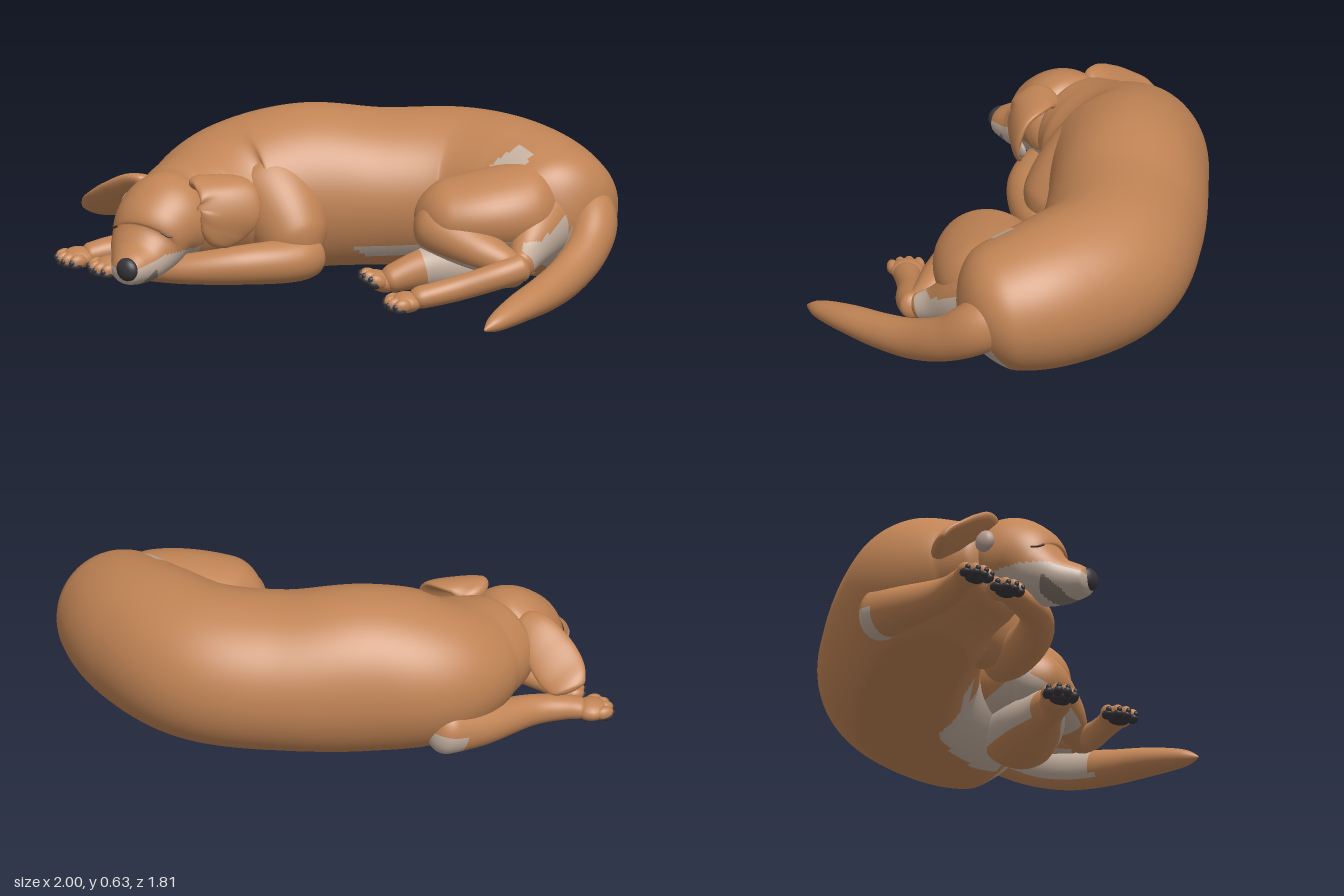
import * as THREE from 'three';

const mat = (name, color) => {
  const m = new THREE.MeshStandardMaterial({ color });
  m.name = name;
  return m;
};
const FLOOR = 0.012;
const Y = new THREE.Vector3(0, 1, 0);

export function createModel() {
  const root = new THREE.Group();
  root.name = 'sleepingDog';
  const tan = mat('tan coat', 0xc18455);
  const cream = mat('cream fur', 0xc4b0a0);
  const dark = mat('nose and claw dark', 0x38353a);
  const lip = mat('lip grey', 0x84766c);
  const line = mat('eyelid brown', 0x4a2f20);
  const pink = mat('inner ear pink', 0xb39a8e);

  // Smooth body of elliptical sections [x, y, z, halfWidth, halfHeight] with rounded ends.
  // paint(point, u, cos, sin) picks an index in mats for each face.
  function loft(name, sections, o = {}) {
    const { mats = [tan], paint = () => 0, side: fixed, e0 = 0.1, e1 = 0.1, n = 60, m = 44 } = o;
    const path = new THREE.CatmullRomCurve3(sections.map(s => new THREE.Vector3(s[0], s[1], s[2])), false, 'catmullrom', 0.5);
    const size = new THREE.CatmullRomCurve3(sections.map(s => new THREE.Vector3(s[3], s[4], 0)), false, 'catmullrom', 0.5);
    const round = (u, e) => (u < e ? Math.sqrt(Math.max(0, 1 - (1 - u / e) ** 2)) : 1);
    const at = (u, a, grow = 1) => {
      const t = path.getTangent(u), s = new THREE.Vector3(), up = new THREE.Vector3();
      if (fixed) s.copy(fixed); else s.crossVectors(Y, t);
      up.crossVectors(t, s).normalize();
      s.crossVectors(up, t).normalize();
      const r = size.getPoint(u), k = round(u, e0) * round(1 - u, e1) * grow;
      const p = path.getPoint(u).addScaledVector(s, Math.cos(a) * r.x * k).addScaledVector(up, Math.sin(a) * r.y * k);
      p.y = Math.max(p.y, FLOOR);
      return p;
    };
    const pos = [], lists = mats.map(() => []);
    for (let i = 0; i <= n; i++) {
      const u = 0.5 - 0.5 * Math.cos(Math.PI * i / n);
      for (let j = 0; j < m; j++) pos.push(...at(u, j / m * Math.PI * 2).toArray());
    }
    for (let i = 0; i < n; i++) for (let j = 0; j < m; j++) {
      const k = (j + 1) % m, a = i * m + j, b = i * m + k, c = a + m, d = b + m;
      const u = 0.5 - 0.5 * Math.cos(Math.PI * (i + 0.5) / n), g = (j + 0.5) / m * Math.PI * 2;
      lists[paint(at(u, g), u, Math.cos(g), Math.sin(g))].push(a, b, c, b, d, c);
    }
    const geo = new THREE.BufferGeometry();
    geo.setAttribute('position', new THREE.Float32BufferAttribute(pos, 3));
    geo.setIndex(lists.flat());
    let start = 0;
    lists.forEach((l, i) => { geo.addGroup(start, l.length, i); start += l.length; });
    geo.computeVertexNormals();
    const mesh = new THREE.Mesh(geo, mats);
    mesh.name = name;
    root.add(mesh);
    return at;
  }

  function blob(name, material, p, r, parent = root) {
    const mesh = new THREE.Mesh(new THREE.SphereGeometry(1, 20, 14), material);
    mesh.name = name;
    mesh.position.set(...p);
    mesh.scale.set(...r);
    parent.add(mesh);
  }

  // Curled trunk from rump to neck
  loft('body', [
    [0.75, 0.24, -0.51, 0.19, 0.2], [0.58, 0.28, -0.565, 0.27, 0.27], [0.34, 0.29, -0.595, 0.305, 0.31],
    [0.06, 0.29, -0.55, 0.325, 0.32], [-0.18, 0.28, -0.34, 0.325, 0.325], [-0.38, 0.29, -0.1, 0.32, 0.345],
    [-0.53, 0.275, 0.14, 0.32, 0.305], [-0.54, 0.275, 0.36, 0.265, 0.215], [-0.52, 0.27, 0.53, 0.19, 0.17],
  ], {
    n: 150, m: 96, mats: [tan, cream], e0: 0.11, e1: 0.06,
    paint: (p, u, c) => {
      const belly = c > (p.x > 0.08 ? 0.4 : 0.75) && p.x > -0.06 && p.x < 0.55
        && p.y < 0.12 + 1.3 * Math.max(0, p.x - 0.12) && p.y > FLOOR;
      const rump = p.x > 0.6 && p.z > -0.7 && p.y < 0.24 && p.y > FLOOR;
      return belly || rump ? 1 : 0;
    },
  });

  // Tail sweeping down from the rump and along the ground
  loft('tail', [
    [0.6, 0.32, -0.66, 0.1, 0.12], [0.73, 0.265, -0.615, 0.1, 0.115], [0.805, 0.18, -0.5, 0.085, 0.095],
    [0.85, 0.115, -0.34, 0.077, 0.085], [0.89, 0.085, -0.17, 0.075, 0.073], [0.925, 0.07, 0, 0.068, 0.058],
    [0.95, 0.05, 0.15, 0.045, 0.04], [0.96, 0.03, 0.25, 0.014, 0.016],
  ], {
    mats: [tan, cream], paint: (p, u, c) => (c < -0.65 && p.z > -0.55 && p.z < -0.2 ? 1 : 0),
  });

  // Upper hind leg: thigh, hamstring, shank and foot; the back of it is pale below a slanting line
  const backPatch = (p, c) => c > 0 && p.z < -0.2 && p.y < 0.25 + 0.45 * Math.max(0, -0.3 - p.z);
  loft('leftThigh', [
    [0.6, 0.32, -0.57, 0.16, 0.2], [0.5, 0.32, -0.36, 0.22, 0.18], [0.37, 0.31, -0.18, 0.2, 0.15],
    [0.26, 0.3, -0.07, 0.11, 0.12],
  ], {
    e0: 0.25, e1: 0.3, mats: [tan, cream], m: 56,
    paint: (p, u, c, s) => (u > 0.3 && (s < -0.68 || (p.x > 0.58 && backPatch(p, c))) ? 1 : 0),
  });
  loft('leftHamstring', [
    [0.59, 0.3, -0.52, 0.14, 0.17], [0.64, 0.25, -0.39, 0.11, 0.13], [0.69, 0.19, -0.27, 0.07, 0.08],
    [0.75, 0.155, -0.18, 0.04, 0.05],
  ], {
    e0: 0.2, mats: [tan, cream],
    paint: (p, u, c, s) => (u < 0.9 && (backPatch(p, c) || (s < -0.2 && c > -0.4)) ? 1 : 0),
  });
  loft('leftShank', [
    [0.25, 0.3, -0.11, 0.09, 0.11], [0.39, 0.265, -0.12, 0.13, 0.115], [0.56, 0.21, -0.14, 0.1, 0.085],
    [0.69, 0.165, -0.17, 0.06, 0.06], [0.77, 0.15, -0.175, 0.055, 0.055],
  ], {
    e0: 0.2, mats: [tan, cream],
    paint: (p, u, c, s) => ((s < -0.55 && u < 0.6) || (u < 0.06 && s < 0.2) ? 1 : 0),
  });
  loft('leftHindFoot', [
    [0.765, 0.17, -0.21, 0.05, 0.055], [0.71, 0.14, -0.1, 0.052, 0.055], [0.6, 0.09, 0.05, 0.048, 0.05],
    [0.5, 0.06, 0.21, 0.058, 0.045],
  ]);
  // Lower hind leg, tucked beneath
  loft('rightHindLeg', [
    [0.56, 0.15, -0.4, 0.17, 0.14], [0.44, 0.13, -0.19, 0.14, 0.12], [0.345, 0.11, -0.02, 0.072, 0.08],
    [0.255, 0.065, 0.12, 0.058, 0.048],
  ], { mats: [tan, cream], paint: (p, u, c, s) => (u < 0.66 && s > -0.5 ? 1 : 0) });

  // Front legs
  loft('leftShoulder', [
    [-0.47, 0.4, 0.08, 0.2, 0.19], [-0.34, 0.31, 0.11, 0.2, 0.19], [-0.21, 0.18, 0.15, 0.15, 0.16],
    [-0.11, 0.08, 0.17, 0.09, 0.09],
  ], { e0: 0.3, e1: 0.25, side: new THREE.Vector3(0, 0, 1) });
  loft('leftForearm', [
    [-0.15, 0.11, 0.08, 0.08, 0.09], [-0.145, 0.1, 0.21, 0.092, 0.09], [-0.24, 0.1, 0.41, 0.078, 0.08],
    [-0.42, 0.08, 0.57, 0.065, 0.06], [-0.62, 0.06, 0.64, 0.055, 0.045], [-0.72, 0.05, 0.66, 0.05, 0.04],
  ]);
  loft('rightForearm', [
    [-0.73, 0.14, -0.04, 0.1, 0.12], [-0.775, 0.1, 0.18, 0.09, 0.09], [-0.8, 0.08, 0.42, 0.065, 0.065],
    [-0.86, 0.07, 0.56, 0.055, 0.05], [-0.91, 0.055, 0.64, 0.05, 0.04],
  ], { mats: [tan, cream], paint: (p, u, c, s) => (u < 0.15 && s < 0 && p.y > FLOOR ? 1 : 0) });

  // Paws: palm, four toes and claws, pointing along local +z
  function paw(name, x, y, z, yaw, pitch = 0) {
    const g = new THREE.Group();
    g.name = name;
    g.position.set(x, y, z);
    g.rotation.set(pitch, yaw, 0, 'YXZ');
    blob('palm', tan, [0, 0, 0], [0.068, 0.042, 0.066], g);
    blob('pad', dark, [0, -0.02, 0.026], [0.048, 0.022, 0.04], g);
    for (let i = 0; i < 4; i++) {
      const t = i - 1.5, reach = Math.abs(t) < 1 ? 0.05 : 0.034;
      blob('toe', tan, [t * 0.036, 0, reach], [0.023, 0.028, 0.038], g);
      blob('toePad', dark, [t * 0.037, -0.016, reach + 0.011], [0.021, 0.019, 0.029], g);
      blob('claw', dark, [t * 0.039, -0.003, reach + 0.031], [0.011, 0.013, 0.014], g);
    }
    root.add(g);
  }
  paw('leftFrontPaw', -0.73, 0.05, 0.66, -0.3);
  paw('rightFrontPaw', -0.915, 0.05, 0.655, -0.25);
  paw('leftHindPaw', 0.49, 0.05, 0.215, -0.45);
  paw('rightHindPaw', 0.245, 0.068, 0.11, -0.45, -0.45);

  // Head with pale muzzle and grey lips
  const head = loft('head', [
    [-0.52, 0.28, 0.43, 0.16, 0.15], [-0.52, 0.275, 0.54, 0.19, 0.183], [-0.515, 0.245, 0.62, 0.18, 0.165],
    [-0.505, 0.185, 0.685, 0.153, 0.13], [-0.48, 0.145, 0.76, 0.12, 0.095], [-0.455, 0.13, 0.835, 0.082, 0.07],
    [-0.44, 0.125, 0.888, 0.054, 0.046],
  ], {
    n: 96, m: 72, e0: 0.12, e1: 0.08, mats: [tan, cream, lip],
    paint: (p, u, c, s) => {
      if (p.z > 0.73 && p.z < 0.81 && p.y < 0.13 - 1.2 * Math.abs(p.z - 0.77) && s < 0) return 2;
      return p.z > 0.48 && s < 0.35 && p.y < 0.18 ? 1 : 0;
    },
  });
  blob('nose', dark, [-0.438, 0.136, 0.868], [0.052, 0.048, 0.034]);

  // Closed eyelids: thin lines lying on the head
  for (const s of [1, -1]) {
    const pts = [[0.45, 28], [0.475, 34], [0.49, 42], [0.49, 50]].map(([u, deg]) =>
      head(u, (s > 0 ? deg : 180 - deg) * Math.PI / 180, 1.003));
    const lid = new THREE.Mesh(new THREE.TubeGeometry(new THREE.CatmullRomCurve3(pts), 20, 0.0045, 6), line);
    lid.name = s > 0 ? 'leftEyelid' : 'rightEyelid';
    root.add(lid);
  }

  // Floppy ears: one folded down, one spread outward
  loft('leftEar', [
    [-0.43, 0.42, 0.49, 0.06, 0.035], [-0.35, 0.435, 0.48, 0.09, 0.03], [-0.27, 0.405, 0.475, 0.125, 0.028],
    [-0.24, 0.33, 0.485, 0.13, 0.026], [-0.26, 0.26, 0.51, 0.1, 0.024], [-0.29, 0.2, 0.54, 0.05, 0.02],
  ], { side: new THREE.Vector3(-0.5, 0, 0.85) });
  loft('rightEar', [
    [-0.62, 0.385, 0.52, 0.05, 0.035], [-0.71, 0.37, 0.53, 0.08, 0.03], [-0.8, 0.315, 0.53, 0.1, 0.028],
    [-0.88, 0.26, 0.525, 0.1, 0.026], [-0.935, 0.225, 0.515, 0.08, 0.024], [-0.96, 0.205, 0.51, 0.05, 0.018],
  ], { side: new THREE.Vector3(0, 0.6, 0.8) });
  blob('leftInnerEar', pink, [-0.2, 0.29, 0.405], [0.016, 0.036, 0.045]);
  blob('rightInnerEar', pink, [-0.715, 0.3, 0.56], [0.03, 0.045, 0.045]);

  return root;
}
